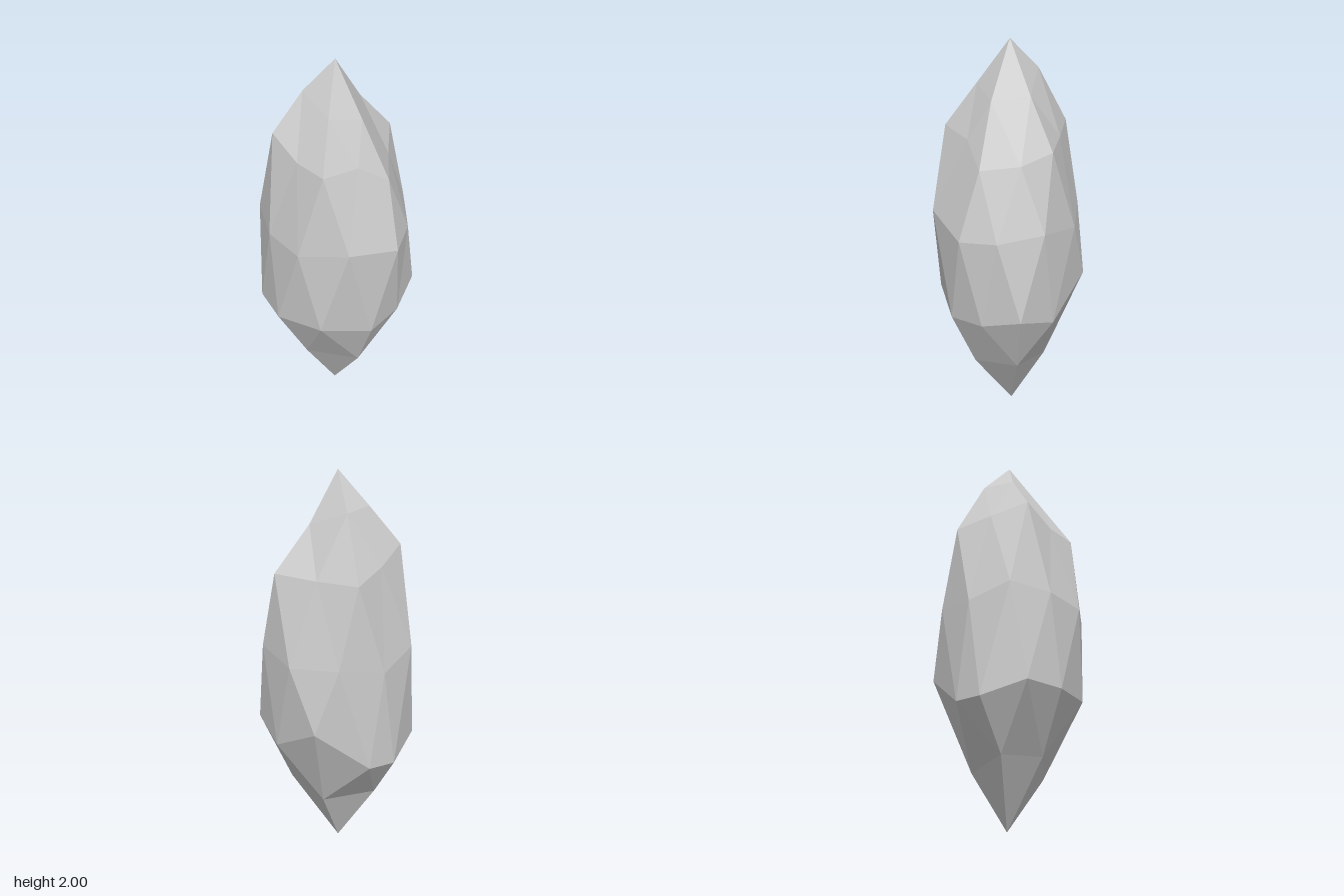
import * as THREE from 'three';

// Cross-sections of the crystal, each point [x, y, z], running from +x towards +z
const tip = [0.005, 2, -0.02];
const shoulder = [[0.155, 1.75, 0], [0.025, 1.73, 0.135], [-0.13, 1.77, 0.065], [-0.1, 1.83, -0.13], [0.055, 1.83, -0.17]];
const upper = [
  [0.33, 1.525, 0.04], [0.215, 1.45, 0.135], [0.07, 1.43, 0.27], [-0.07, 1.53, 0.2], [-0.26, 1.545, 0.155],
  [-0.255, 1.55, -0.02], [-0.24, 1.63, -0.195], [-0.07, 1.57, -0.275], [0.1, 1.525, -0.33], [0.215, 1.52, -0.15],
];
const waist = [
  [0.355, 1.13, 0.12], [0.2, 1.09, 0.29], [0.03, 1.08, 0.375], [-0.225, 1.14, 0.29], [-0.355, 1.1, 0.075],
  [-0.335, 1.115, -0.14], [-0.225, 1.14, -0.32], [-0.02, 1.07, -0.38], [0.2, 1.11, -0.315], [0.35, 1.09, -0.11],
];
const lower = [
  [0.34, 0.61, 0.03], [0.31, 0.68, 0.24], [0.115, 0.62, 0.31], [-0.085, 0.6, 0.315], [-0.3, 0.65, 0.17],
  [-0.35, 0.625, -0.08], [-0.285, 0.63, -0.265], [-0.09, 0.557, -0.375], [0.055, 0.565, -0.37], [0.3, 0.77, -0.25],
];
const root = [[0.19, 0.34, 0.13], [-0.045, 0.305, 0.188], [-0.2, 0.33, -0.03], [-0.09, 0.315, -0.21], [0.16, 0.3, -0.115]];
const foot = [0.01, 0, -0.03];

function crystalGeometry() {
  const positions = [];
  const at = (ring, i) => ring[(i + ring.length) % ring.length];
  const face = (a, b, c) => positions.push(...a, ...b, ...c);

  // Pointed ends: five facets at each point, fanning out to the ten-sided rings
  for (let i = 0; i < 5; i++) {
    const s = shoulder[i], sNext = at(shoulder, i + 1);
    face(tip, sNext, s);
    face(s, sNext, at(upper, 2 * i + 1));
    face(s, at(upper, 2 * i + 1), at(upper, 2 * i));
    face(s, at(upper, 2 * i), at(upper, 2 * i - 1));

    const r = root[i], rNext = at(root, i + 1);
    face(r, rNext, foot);
    face(at(lower, 2 * i + 2), rNext, r);
    face(at(lower, 2 * i), at(lower, 2 * i + 1), r);
    face(at(lower, 2 * i + 1), at(lower, 2 * i + 2), r);
  }

  // Body: two bands of triangles on either side of the waist
  for (let k = 0; k < 10; k++) {
    face(upper[k], at(upper, k + 1), waist[k]);
    face(upper[k], waist[k], at(waist, k - 1));
    face(at(waist, k - 1), waist[k], lower[k]);
    face(waist[k], at(lower, k + 1), lower[k]);
  }

  const geometry = new THREE.BufferGeometry();
  geometry.setAttribute('position', new THREE.Float32BufferAttribute(positions, 3));
  geometry.computeVertexNormals();
  return geometry;
}

export function createModel() {
  const group = new THREE.Group();
  const material = new THREE.MeshStandardMaterial({ color: 0xcccccc, flatShading: true });
  const crystal = new THREE.Mesh(crystalGeometry(), material);
  crystal.name = 'crystal';
  group.add(crystal);
  return group;
}
